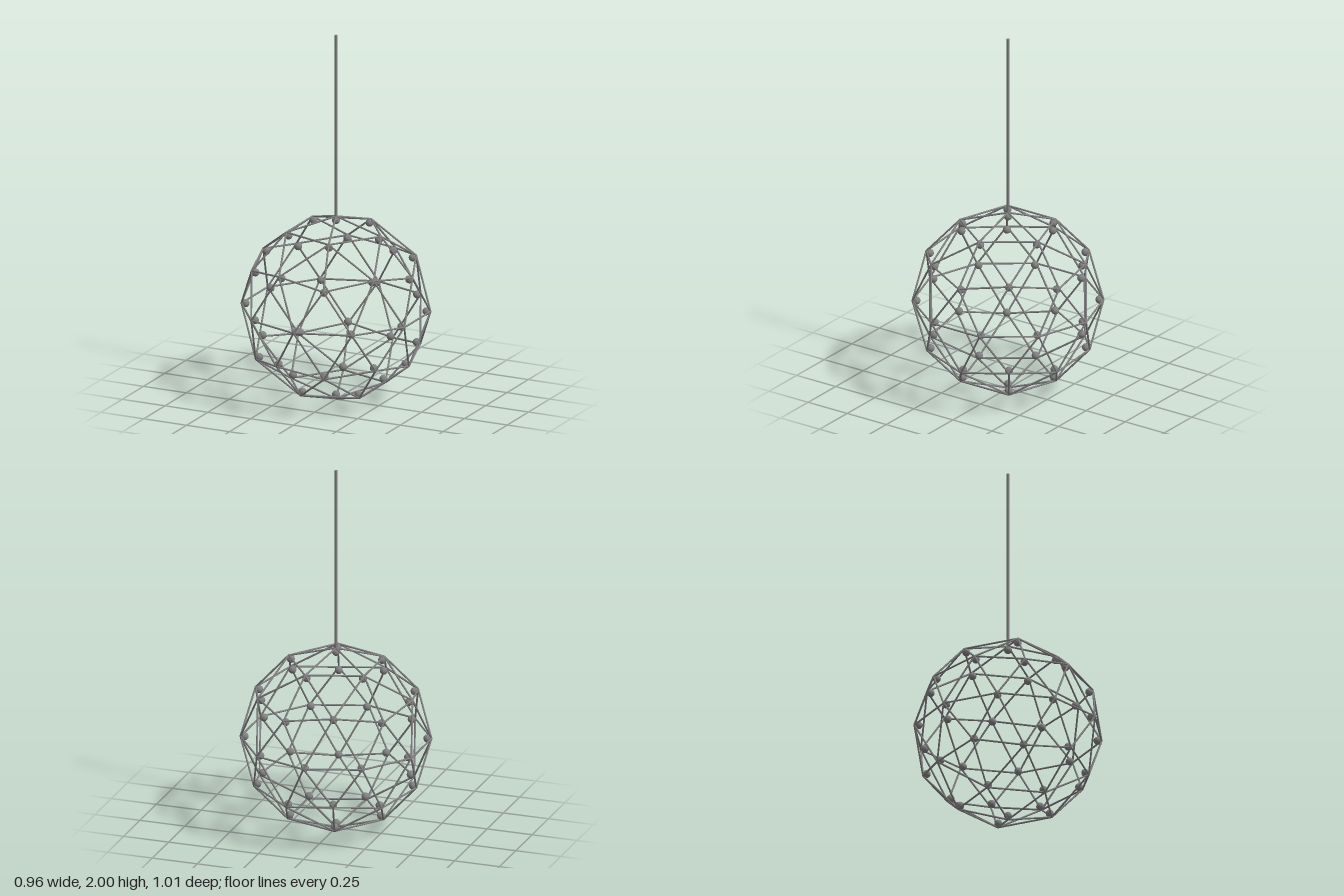
import * as THREE from 'three';

const CENTRE_Y = 0.507;     // height of the cage centre
const RADIUS = 0.5;         // cage corners
const BULB_ORBIT = 0.478;   // bulbs sit just inside the corners
const STRUT_R = 0.005;
const BULB_R = 0.021;

// The 42 corner directions of a two-frequency geodesic sphere with a corner at each pole
function cageDirections() {
  const dirs = [new THREE.Vector3(0, 1, 0), new THREE.Vector3(0, -1, 0)];
  const ring = (count, latitude, startDeg) => {
    for (let i = 0; i < count; i++) {
      const az = THREE.MathUtils.degToRad(startDeg + (360 / count) * i);
      const lat = THREE.MathUtils.degToRad(latitude);
      dirs.push(new THREE.Vector3(Math.cos(lat) * Math.cos(az), Math.sin(lat), Math.cos(lat) * Math.sin(az)));
    }
  };
  for (const [side, start] of [[1, 0], [-1, 36]]) {
    ring(5, side * 58.283, start);
    ring(5, side * 26.565, start);
    ring(5, side * 31.717, start + 36);
  }
  ring(10, 0, 18);
  return dirs;
}

export function createModel() {
  const model = new THREE.Group();
  model.name = 'pendantLamp';
  const material = new THREE.MeshStandardMaterial({ color: 0x808080 });

  const dirs = cageDirections();
  const up = new THREE.Vector3(0, 1, 0);

  // Struts join every pair of neighbouring corners
  const cage = new THREE.Group();
  cage.name = 'cage';
  cage.position.y = CENTRE_Y;
  const strutGeometry = new THREE.CylinderGeometry(STRUT_R, STRUT_R, 1, 8);
  for (let i = 0; i < dirs.length; i++) {
    for (let j = i + 1; j < dirs.length; j++) {
      const span = dirs[j].clone().sub(dirs[i]);
      const length = span.length();
      if (length > 0.7) continue;
      const strut = new THREE.Mesh(strutGeometry, material);
      strut.name = 'strut';
      strut.position.copy(dirs[i]).add(dirs[j]).multiplyScalar(RADIUS / 2);
      strut.quaternion.setFromUnitVectors(up, span.normalize());
      strut.scale.y = length * RADIUS;
      cage.add(strut);
    }
  }
  model.add(cage);

  // One round bulb inside each corner
  const bulbs = new THREE.Group();
  bulbs.name = 'bulbs';
  bulbs.position.y = CENTRE_Y;
  const bulbGeometry = new THREE.SphereGeometry(BULB_R, 20, 14);
  for (const dir of dirs) {
    const bulb = new THREE.Mesh(bulbGeometry, material);
    bulb.name = 'bulb';
    bulb.position.copy(dir).multiplyScalar(BULB_ORBIT);
    bulbs.add(bulb);
  }
  model.add(bulbs);

  // Hanging rod rising from the top corner
  const bottom = CENTRE_Y + BULB_ORBIT;
  const rod = new THREE.Mesh(new THREE.CylinderGeometry(0.008, 0.008, 2 - bottom, 16), material);
  rod.name = 'hangingRod';
  rod.position.y = (2 + bottom) / 2;
  model.add(rod);

  return model;
}
